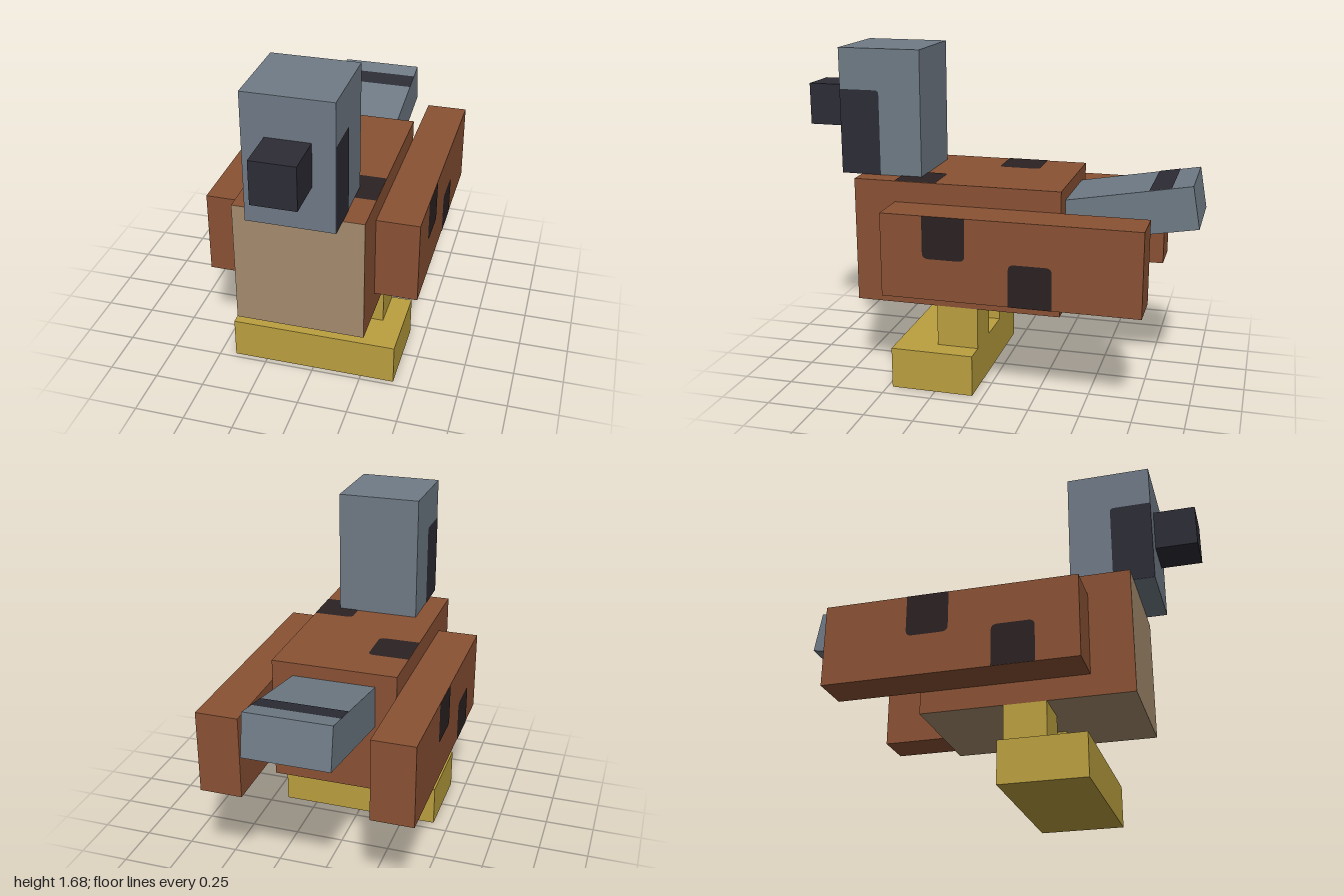
import * as THREE from 'three';

const paint = (name, color) => {
  const m = new THREE.MeshStandardMaterial({ color });
  m.name = name;
  return m;
};

export function createModel() {
  const brown = paint('brown', 0x8a5234);
  const tan = paint('tan', 0xa58d6f);
  const grey = paint('slate grey', 0x707b86);
  const black = paint('blue black', 0x2d2c36);
  const spotDark = paint('dark spot', 0x2b2222);
  const yellow = paint('yellow', 0xbba040);

  const model = new THREE.Group();
  model.name = 'bird';

  // Box given by its extents on each axis
  const box = (name, mat, [x0, x1], [y0, y1], [z0, z1], parent = model) => {
    const mesh = new THREE.Mesh(new THREE.BoxGeometry(x1 - x0, y1 - y0, z1 - z0), mat);
    mesh.name = name;
    mesh.position.set((x0 + x1) / 2, (y0 + y1) / 2, (z0 + z1) / 2);
    parent.add(mesh);
    return mesh;
  };

  // Flat painted patch; corners cut in order bottom left, bottom right, top right, top left
  const patch = (name, mat, w, h, [a, b, c, d], pos, rot, parent = model) => {
    const x = w / 2, y = h / 2, s = new THREE.Shape();
    s.moveTo(-x + a, -y);
    s.lineTo(x - b, -y);
    s.quadraticCurveTo(x, -y, x, -y + b);
    s.lineTo(x, y - c);
    s.quadraticCurveTo(x, y, x - c, y);
    s.lineTo(-x + d, y);
    s.quadraticCurveTo(-x, y, -x, y - d);
    s.lineTo(-x, -y + a);
    s.quadraticCurveTo(-x, -y, -x + a, -y);
    const mesh = new THREE.Mesh(new THREE.ShapeGeometry(s, 4), mat);
    mesh.name = name;
    mesh.position.set(...pos);
    mesh.rotation.set(...rot);
    parent.add(mesh);
  };

  const U = 0.21, R = 0.03, GAP = 0.002, Q = Math.PI / 2;

  // Body with pale breast and belly
  box('body', [brown, brown, brown, tan, tan, brown], [-0.314, 0.314], [0.42, 1.05], [-0.36, 0.685]);
  patch('backSpot', spotDark, 0.205, U, [0, R, R, 0], [-0.211, 1.05 + GAP, -0.052], [-Q, 0, 0]);
  patch('shoulderSpot', spotDark, 0.205, U, [0, 0, 0, R], [0.211, 1.05 + GAP, 0.37], [-Q, 0, 0]);

  // Head and beak
  box('head', grey, [-0.21, 0.21], [1.05, 1.68], [0.37, 0.79]);
  box('beak', black, [-0.105, 0.105], [1.27, 1.48], [0.79, 1]);

  for (const s of [1, -1]) {
    const side = s > 0 ? 'left' : 'right';
    const span = (a, b) => (s > 0 ? [a, b] : [-b, -a]);
    const turn = [0, s * Q, 0];

    // Cheek marking
    patch(side + 'Cheek', black, 0.205, 0.425, s > 0 ? [0, 0, 0.02, 0] : [0, 0, 0, 0.02],
      [s * (0.21 + GAP), 1.2625, 0.6875], turn);

    // Wing with one spot on its upper edge and one on its lower edge
    box(side + 'Wing', brown, span(0.314, 0.524), [0.53, 0.945], [-0.785, 0.475]);
    const wingX = s * (0.524 + GAP), front = 0.16, rear = -0.26;
    patch(side + 'WingUpperSpot', spotDark, U, U, [R, R, 0, 0], [wingX, 0.84, s > 0 ? front : rear], turn);
    patch(side + 'WingLowerSpot', spotDark, U, U, [0, 0, R, R], [wingX, 0.635, s > 0 ? rear : front], turn);

    // Leg
    box(side + 'Leg', yellow, span(0.105, 0.314), [0.21, 0.42], [0.055, 0.265]);
  }

  // Webbed feet
  box('feet', yellow, [-0.42, 0.42], [0, 0.21], [0.055, 0.475]);

  // Raised tail, hung from its upper rear edge
  const tail = new THREE.Group();
  tail.name = 'tail';
  tail.position.set(0, 1.09, -0.965);
  tail.rotation.x = THREE.MathUtils.degToRad(10);
  box('tailFeathers', grey, [-0.208, 0.208], [-0.21, 0], [0, 0.84], tail);
  patch('tailBand', black, 0.416, 0.107, [0, 0, 0, 0], [0, GAP, 0.155], [-Q, 0, 0], tail);
  patch('tailUnderBand', black, 0.416, 0.105, [0, 0, 0, 0], [0, -0.21 - GAP, 0.68], [Q, 0, 0], tail);
  model.add(tail);

  return model;
}
